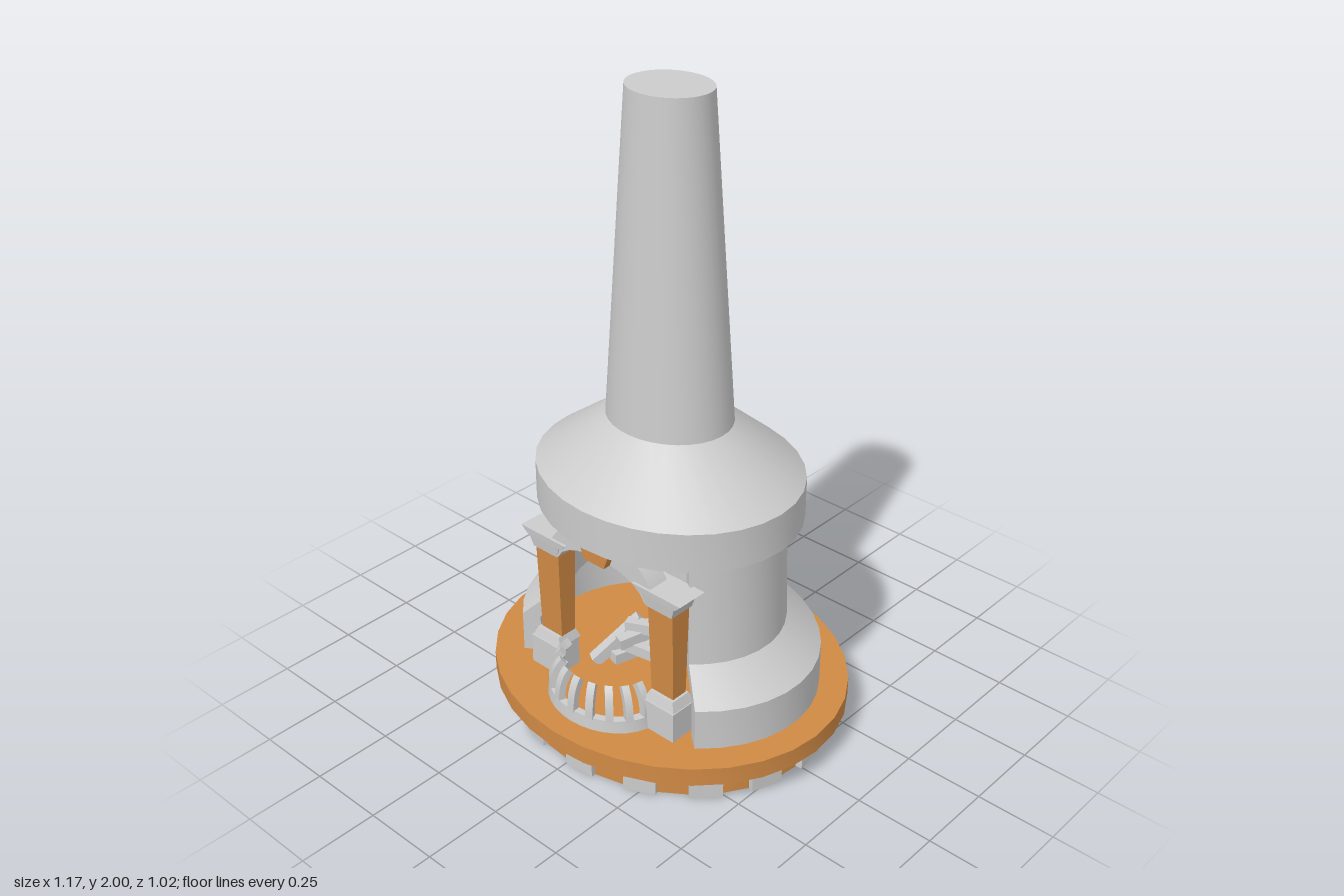
import * as THREE from 'three';
import { toCreasedNormals } from 'three/addons/utils/BufferGeometryUtils.js';

const GREY = 0xcccccc, CLAY = 0xd08a45;

const material = (color) => new THREE.MeshStandardMaterial({ color, side: THREE.DoubleSide });
const stone = material(GREY);
const clay = material(CLAY);
const points = (list) => list.map(([x, y]) => new THREE.Vector2(x, y));
const rad = THREE.MathUtils.degToRad;

export function createModel() {
  const model = new THREE.Group();

  function add(name, geometry, mat, parent = model) {
    const mesh = new THREE.Mesh(geometry, mat);
    mesh.name = name;
    parent.add(mesh);
    return mesh;
  }

  // Elliptical turned part: profile of [radius, y], squashed along z
  function turned(name, profile, squash, mat, start = 0, sweep = 360, segments = 32) {
    const lathe = new THREE.LatheGeometry(points(profile), segments, rad(start), rad(sweep));
    lathe.scale(1, 1, squash);
    return add(name, toCreasedNormals(lathe, 0.4), mat);
  }

  // Four-sided block with different bottom and top sizes
  function taperedBlock(name, [x, y, z], bottom, top, height, mat, parent = model) {
    const geometry = new THREE.BoxGeometry(1, height, 1);
    const p = geometry.attributes.position;
    for (let i = 0; i < p.count; i++) {
      const size = p.getY(i) > 0 ? top : bottom;
      p.setX(i, p.getX(i) * size[0]);
      p.setZ(i, p.getZ(i) * size[1]);
    }
    geometry.computeVertexNormals();
    geometry.translate(x, y + height / 2, z);
    return add(name, geometry, mat, parent);
  }

  // Flat cap in the radial plane at the given angle
  function radialCap(name, profile, angle, squash) {
    const cap = new THREE.ShapeGeometry(new THREE.Shape(points(profile)));
    cap.rotateY(rad(angle - 90)).scale(1, 1, squash);
    add(name, cap, stone);
  }

  // Footing with a ring of stones, and the slab on top
  turned('footing', [[0, 0], [0.52, 0], [0.52, 0.09], [0, 0.09]], 0.86, clay);
  const stoneCount = 16;
  for (let i = 0; i < stoneCount; i++) {
    const a = rad(5.5) + (i / stoneCount) * Math.PI * 2;
    const block = add('footingStone', new THREE.BoxGeometry(0.1, 0.088, 0.05), stone);
    block.position.set(0.512 * Math.sin(a), 0.045, 0.436 * Math.cos(a));
    block.rotation.y = Math.atan2(0.86 * Math.sin(a), Math.cos(a));
  }
  turned('slab', [[0, 0.09], [0.586, 0.09], [0.586, 0.15], [0, 0.15]], 0.87, clay);

  // Hollow fire chamber, open at the front
  const wall = [
    [0.5, 0.15], [0.5, 0.285], [0.385, 0.375], [0.375, 0.725],
    [0.33, 0.725], [0.335, 0.36], [0.44, 0.275], [0.44, 0.15], [0.5, 0.15],
  ];
  turned('chamberWall', wall, 0.825, stone, 46, 268, 28);
  for (const side of [46, 314]) radialCap('chamberWallEnd', wall, side, 0.825);

  // Hood and chimney
  turned('hood', [[0, 0.725], [0.425, 0.725], [0.425, 0.85], [0.2, 1.015], [0, 1.015]], 0.862, stone);
  turned('chimney', [[0.2, 1.015], [0.13, 2], [0, 2]], 0.865, stone);

  // Columns on either side of the opening
  for (const s of [-1, 1]) {
    const pillar = new THREE.Group();
    pillar.name = s > 0 ? 'leftColumn' : 'rightColumn';
    model.add(pillar);
    taperedBlock('plinth', [s * 0.238, 0.15, 0.265], [0.115, 0.09], [0.115, 0.09], 0.1, stone, pillar);
    taperedBlock('plinthTop', [s * 0.235, 0.25, 0.26], [0.115, 0.09], [0.09, 0.07], 0.03, stone, pillar);
    taperedBlock('shaft', [s * 0.23, 0.28, 0.257], [0.085, 0.055], [0.095, 0.07], 0.3, clay, pillar);
    taperedBlock('capitalNeck', [s * 0.23, 0.58, 0.257], [0.1, 0.085], [0.125, 0.095], 0.04, stone, pillar);
    taperedBlock('capital', [s * 0.228, 0.62, 0.257], [0.14, 0.1], [0.185, 0.104], 0.022, stone, pillar);
  }

  // Arch between the capitals
  const arch = new THREE.Shape();
  arch.moveTo(-0.2, 0.585);
  arch.lineTo(-0.2, 0.64);
  arch.quadraticCurveTo(-0.16, 0.705, -0.1, 0.724);
  arch.lineTo(0.1, 0.724);
  arch.quadraticCurveTo(0.16, 0.705, 0.2, 0.64);
  arch.lineTo(0.2, 0.585);
  arch.lineTo(0.175, 0.585);
  arch.bezierCurveTo(0.14, 0.68, -0.14, 0.68, -0.175, 0.585);
  const archGeometry = new THREE.ExtrudeGeometry(arch, { depth: 0.07, bevelEnabled: false, curveSegments: 10 });
  archGeometry.translate(0, 0, 0.23);
  add('arch', toCreasedNormals(archGeometry, 0.5), stone);
  taperedBlock('keystone', [0, 0.652, 0.28], [0.08, 0.09], [0.135, 0.09], 0.073, clay);

  // Curved fender with bars leaning inward
  const fender = new THREE.Group();
  fender.name = 'fender';
  fender.position.z = 0.28;
  fender.scale.z = 0.8;
  model.add(fender);
  const rim = [[0.168, 0.15], [0.2, 0.15], [0.195, 0.19], [0.168, 0.19], [0.168, 0.15]];
  const rimGeometry = new THREE.LatheGeometry(points(rim), 16, -Math.PI / 2, Math.PI);
  add('fenderRim', toCreasedNormals(rimGeometry, 0.4), stone, fender);

  const bar = new THREE.Shape();
  bar.moveTo(0.172, 0.185);
  bar.lineTo(0.196, 0.185);
  bar.quadraticCurveTo(0.196, 0.26, 0.157, 0.295);
  bar.lineTo(0.138, 0.278);
  bar.quadraticCurveTo(0.172, 0.245, 0.172, 0.185);
  const barGeometry = toCreasedNormals(
    new THREE.ExtrudeGeometry(bar, { depth: 0.026, bevelEnabled: false, curveSegments: 5 }).translate(0, 0, -0.013), 0.5);
  for (let i = 0; i < 9; i++) {
    const mesh = add('fenderBar', barGeometry, stone, fender);
    mesh.rotation.y = rad(-80 + i * 20) - Math.PI / 2;
  }

  // Stacked logs on the hearth: [x, y, z, turn, tilt]
  const logs = [
    [-0.07, 0.175, 0.06, 75, 0], [0.08, 0.175, 0.06, 100, 0],
    [0, 0.215, 0.1, 5, 4], [0, 0.215, 0.02, -8, -4],
    [-0.04, 0.25, 0.06, 70, 6], [0.05, 0.25, 0.06, 110, -6],
    [0, 0.28, 0.06, 20, 5], [-0.11, 0.22, 0.12, 60, 40],
  ];
  for (const [x, y, z, turn, tilt] of logs) {
    const log = add('log', new THREE.BoxGeometry(0.2, 0.036, 0.036), stone);
    log.position.set(x, y, z);
    log.rotation.set(0, rad(turn), rad(tilt));
  }

  return model;
}
